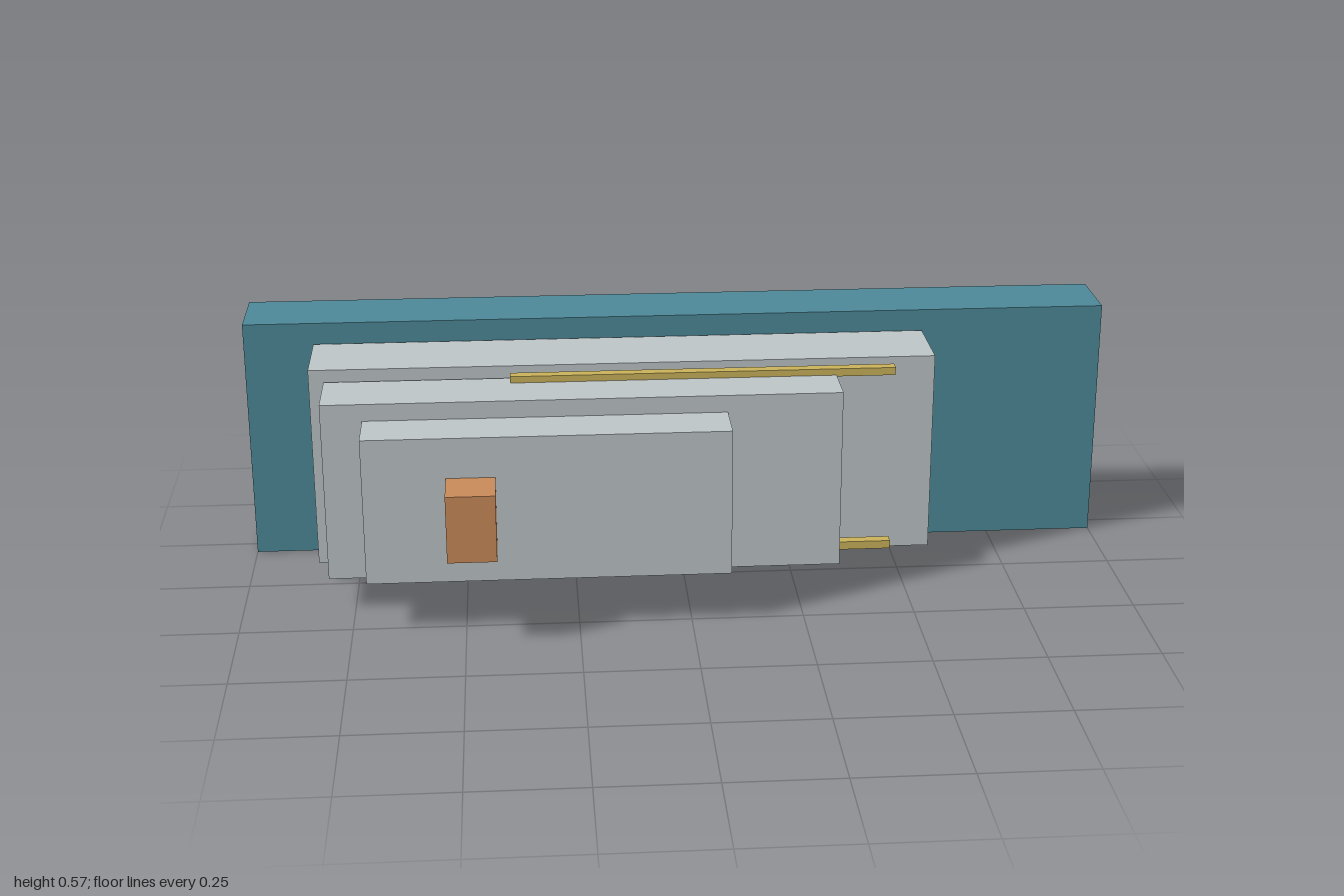
import * as THREE from 'three';

function material(name, color) {
  const m = new THREE.MeshStandardMaterial({ color });
  m.name = name;
  return m;
}

export function createModel() {
  const model = new THREE.Group();
  model.name = 'steppedPanel';
  const teal = material('teal', 0x4c8898);
  const grey = material('pale grey', 0xbcc4c6);
  const orange = material('copper', 0xc88a59);
  const gold = material('gold', 0xc8b15a);

  // Box given by its [min, max] extent on each axis
  function block(name, mat, [x0, x1], [y0, y1], [z0, z1]) {
    const mesh = new THREE.Mesh(new THREE.BoxGeometry(x1 - x0, y1 - y0, z1 - z0), mat);
    mesh.position.set((x0 + x1) / 2, (y0 + y1) / 2, (z0 + z1) / 2);
    mesh.name = name;
    model.add(mesh);
  }

  // Back slab
  block('backSlab', teal, [-1, 1], [0, 0.566], [-0.375, -0.2]);

  // Tiers stepping forward
  block('rearTier', grey, [-0.84, 0.573], [0.05, 0.517], [-0.195, -0.01]);
  block('middleTier', grey, [-0.806, 0.343], [0.078, 0.49], [-0.004, 0.147]);
  block('frontTier', grey, [-0.715, 0.087], [0.116, 0.451], [0.147, 0.267]);

  // Knob on the front tier
  block('knob', orange, [-0.534, -0.427], [0.207, 0.359], [0.267, 0.375]);

  // Guide rails above and below the middle tier
  block('upperRail', gold, [-0.39, 0.477], [0.487, 0.505], [0.004, 0.03]);
  block('lowerRail', gold, [-0.39, 0.477], [0.062, 0.081], [0.004, 0.03]);

  return model;
}
